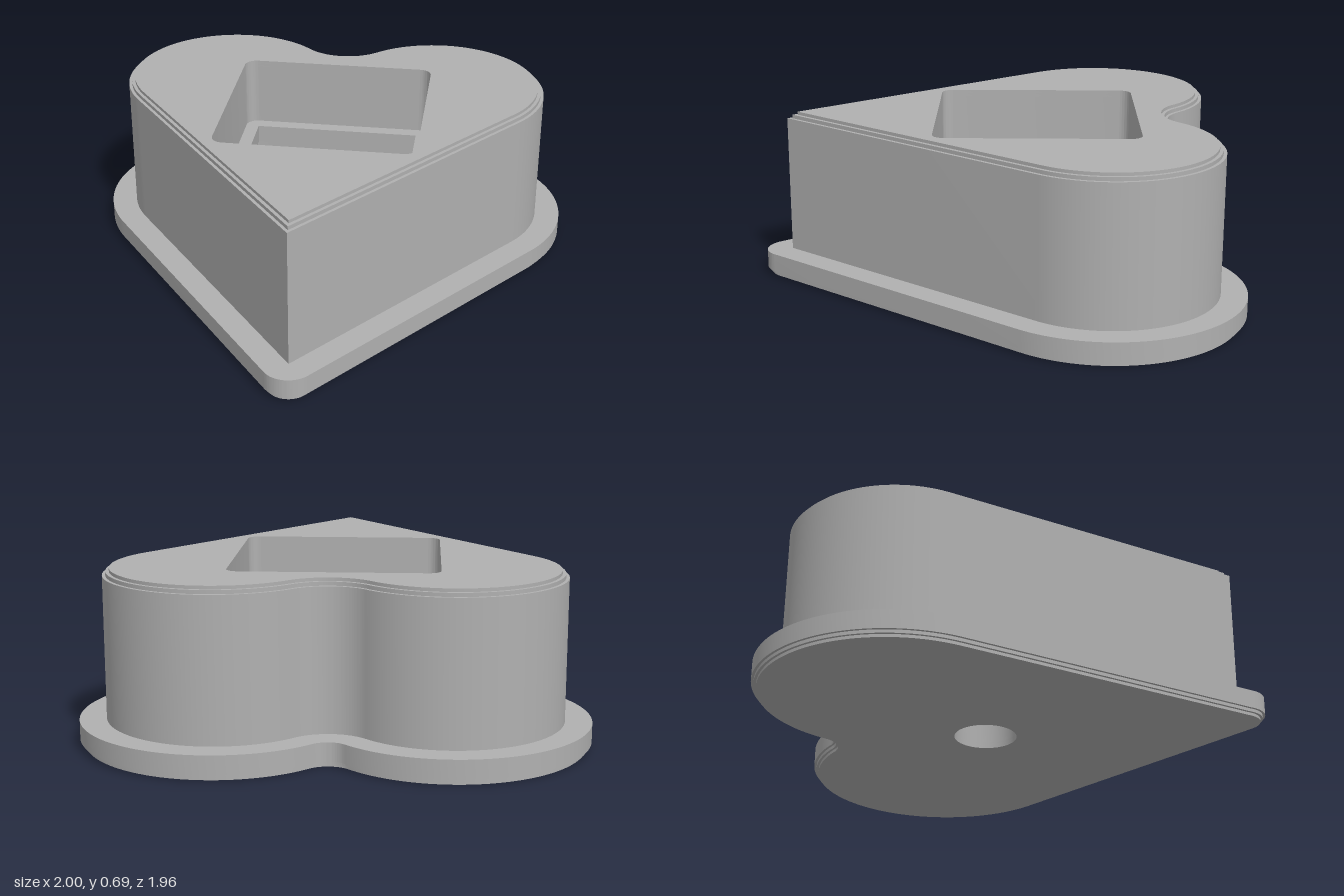
import * as THREE from 'three';
import { toCreasedNormals } from 'three/addons/utils/BufferGeometryUtils.js';

// Heart layout, drawn flat with shape y = -z
const LOBE_X = 0.447, LOBE_Y = 0.427, LOBE_R = 0.448, TIP_Y = -0.872;
const NOTCH_R = 0.189, POCKET_Y = 0.155;
const NOTCH_Y = LOBE_Y + Math.sqrt((LOBE_R + NOTCH_R) ** 2 - LOBE_X ** 2);
const SIDE = Math.atan2(LOBE_X, LOBE_Y - TIP_Y)
  + Math.asin(LOBE_R / Math.hypot(LOBE_X, LOBE_Y - TIP_Y));

// Heart outline grown (d > 0) or shrunk (d < 0) by d
function heart(d) {
  const s = new THREE.Shape();
  const r = LOBE_R + d;
  const end = Math.atan2(NOTCH_Y - LOBE_Y, -LOBE_X);
  const notch = Math.atan2(LOBE_Y - NOTCH_Y, LOBE_X);
  s.absarc(LOBE_X, LOBE_Y, r, -SIDE, end, false);
  s.absarc(0, NOTCH_Y, NOTCH_R - d, notch, -Math.PI - notch, true);
  s.absarc(-LOBE_X, LOBE_Y, r, Math.PI - end, Math.PI + SIDE, false);
  if (d > 0) s.absarc(0, TIP_Y, d, Math.PI + SIDE, 2 * Math.PI - SIDE, false);
  else s.lineTo(0, TIP_Y - d / Math.sin(SIDE));
  s.closePath();
  return s;
}

// Square centred on the pocket, with optional rounded corners
function square(path, h, r = 0) {
  if (r === 0) {
    path.moveTo(-h, POCKET_Y - h);
    path.lineTo(h, POCKET_Y - h);
    path.lineTo(h, POCKET_Y + h);
    path.lineTo(-h, POCKET_Y + h);
  } else {
    [[1, -1], [1, 1], [-1, 1], [-1, -1]].forEach(([sx, sy], i) => {
      const a = (i - 1) * Math.PI / 2;
      path.absarc(sx * (h - r), POCKET_Y + sy * (h - r), r, a, a + Math.PI / 2, false);
    });
  }
  path.closePath();
  return path;
}

function roundHole() {
  const p = new THREE.Path();
  p.absarc(0, POCKET_Y, 0.127, 0, Math.PI * 2, true);
  return p;
}

export function createModel() {
  const model = new THREE.Group();
  model.name = 'heartHousing';
  const grey = new THREE.MeshStandardMaterial({ color: 0xb0b0b0 });
  grey.name = 'grey';

  // Horizontal slab from y0 to y1 with a hole through it
  function slab(name, shape, hole, y0, y1) {
    shape.holes.push(hole);
    const flat = new THREE.ExtrudeGeometry(shape, { depth: y1 - y0, bevelEnabled: false, curveSegments: 36 });
    flat.rotateX(-Math.PI / 2);
    flat.translate(0, y0, 0);
    const mesh = new THREE.Mesh(toCreasedNormals(flat, 0.5), grey);
    mesh.name = name;
    model.add(mesh);
  }
  const pocket = () => square(new THREE.Path(), 0.408, 0.05);

  // Wide base with a stepped lower edge and a cable hole
  slab('baseLowerStep', heart(0.085), roundHole(), 0, 0.012);
  slab('baseUpperStep', heart(0.095), roundHole(), 0.012, 0.025);
  slab('baseFlange', heart(0.105), roundHole(), 0.025, 0.1);

  // Hollow body with a stepped upper edge
  slab('body', heart(0), pocket(), 0.1, 0.665);
  slab('bodyLowerStep', heart(-0.013), pocket(), 0.665, 0.68);
  slab('bodyUpperStep', heart(-0.027), pocket(), 0.68, 0.693);

  // Mounting plate with a square opening, set inside the pocket
  slab('mountingPlate', square(new THREE.Shape(), 0.408, 0.05),
    square(new THREE.Path(), 0.352), 0.325, 0.4);

  return model;
}
